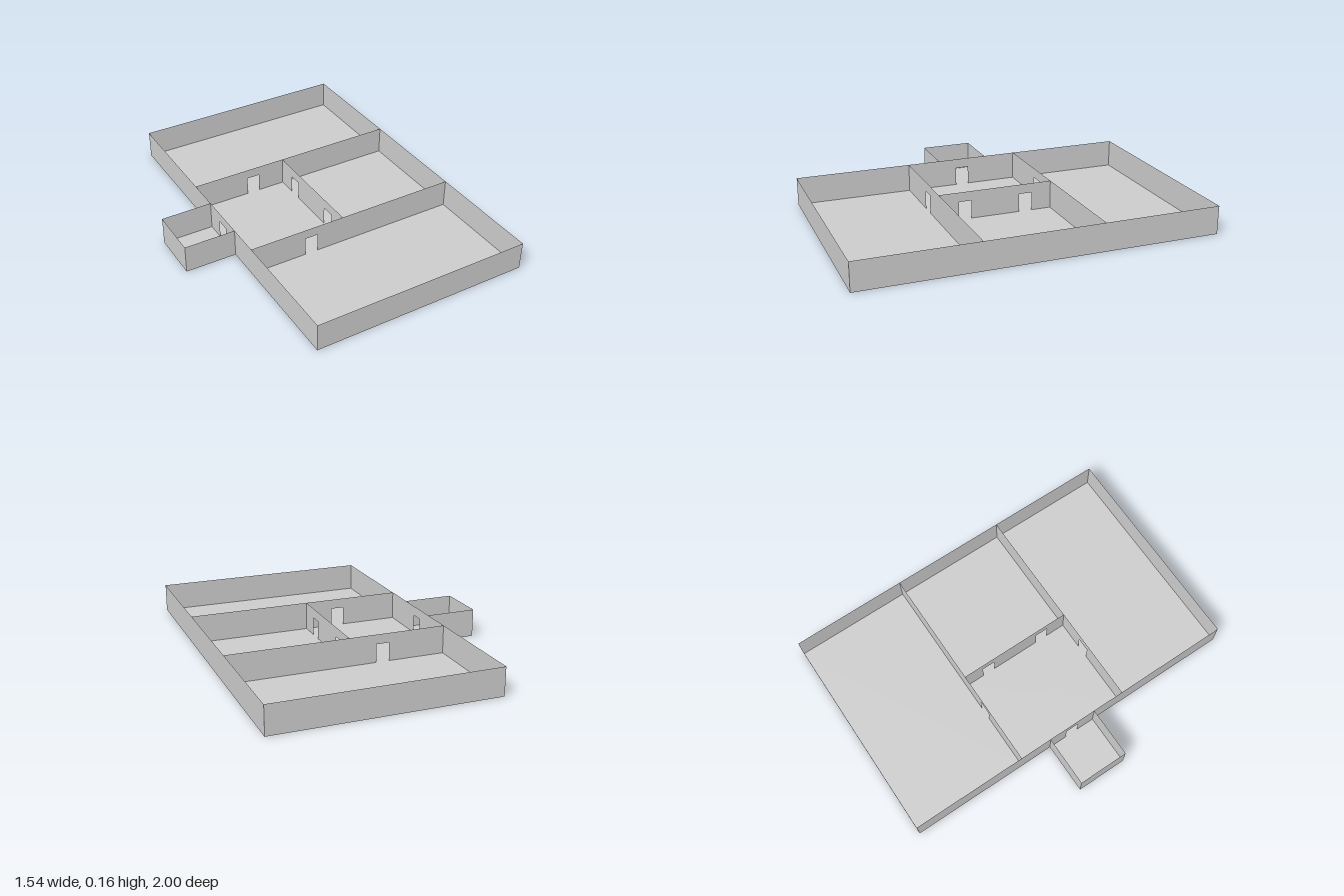
import * as THREE from 'three';

const WALL_HEIGHT = 0.16;
const DOOR_HEIGHT = 0.105;
const DOOR_WIDTH = 0.075;

export function createModel() {
  const model = new THREE.Group();
  const material = new THREE.MeshStandardMaterial({
    color: 0xcccccc, side: THREE.DoubleSide, flatShading: true,
  });

  // Paper-thin upright wall from (x0, z0) to (x1, z1); doors are distances along it
  function addWall(name, x0, z0, x1, z1, doors = []) {
    const length = Math.hypot(x1 - x0, z1 - z0);
    const outline = new THREE.Shape().moveTo(0, 0);
    for (const d of doors) {
      outline.lineTo(d - DOOR_WIDTH / 2, 0);
      outline.lineTo(d - DOOR_WIDTH / 2, DOOR_HEIGHT);
      outline.lineTo(d + DOOR_WIDTH / 2, DOOR_HEIGHT);
      outline.lineTo(d + DOOR_WIDTH / 2, 0);
    }
    outline.lineTo(length, 0);
    outline.lineTo(length, WALL_HEIGHT);
    outline.lineTo(0, WALL_HEIGHT);
    outline.closePath();
    const wall = new THREE.Mesh(new THREE.ShapeGeometry(outline), material);
    wall.name = name;
    wall.position.set(x0, 0, z0);
    wall.rotation.y = Math.atan2(z0 - z1, x1 - x0);
    model.add(wall);
  }

  function addFloor(name, x0, x1, z0, z1) {
    const geometry = new THREE.PlaneGeometry(x1 - x0, z1 - z0).rotateX(-Math.PI / 2);
    const floor = new THREE.Mesh(geometry, material);
    floor.name = name;
    floor.position.set((x0 + x1) / 2, 0, (z0 + z1) / 2);
    model.add(floor);
  }

  const west = -0.48, east = 0.77, end = 1, inner = 0.333;
  const divider = 0.08, porchWest = -0.77, porchHalf = 0.145;

  // Floors of the rooms
  addFloor('backRoomFloor', west, east, -end, -inner);
  addFloor('hallFloor', west, divider, -inner, inner);
  addFloor('sideRoomFloor', divider, east, -inner, inner);
  addFloor('frontRoomFloor', west, east, inner, end);
  addFloor('porchFloor', porchWest, west, -porchHalf, porchHalf);

  // Outer walls, with the porch doorway in the west one
  addWall('westWall', west, -end, west, end, [end]);
  addWall('eastWall', east, -end, east, end);

  // Matching front and back walls, and inner walls with a doorway each
  for (const [side, s] of [['front', 1], ['back', -1]]) {
    addWall(side + 'Wall', west, s * end, east, s * end);
    addWall(side + 'InnerWall', west, s * inner, east, s * inner, [-0.115 - west]);
    addWall(side + 'PorchWall', porchWest, s * porchHalf, west, s * porchHalf);
  }

  // Divider between hall and side room, with two doorways
  addWall('dividerWall', divider, -inner, divider, inner, [inner - 0.18, inner + 0.18]);
  addWall('porchEndWall', porchWest, -porchHalf, porchWest, porchHalf);

  return model;
}
